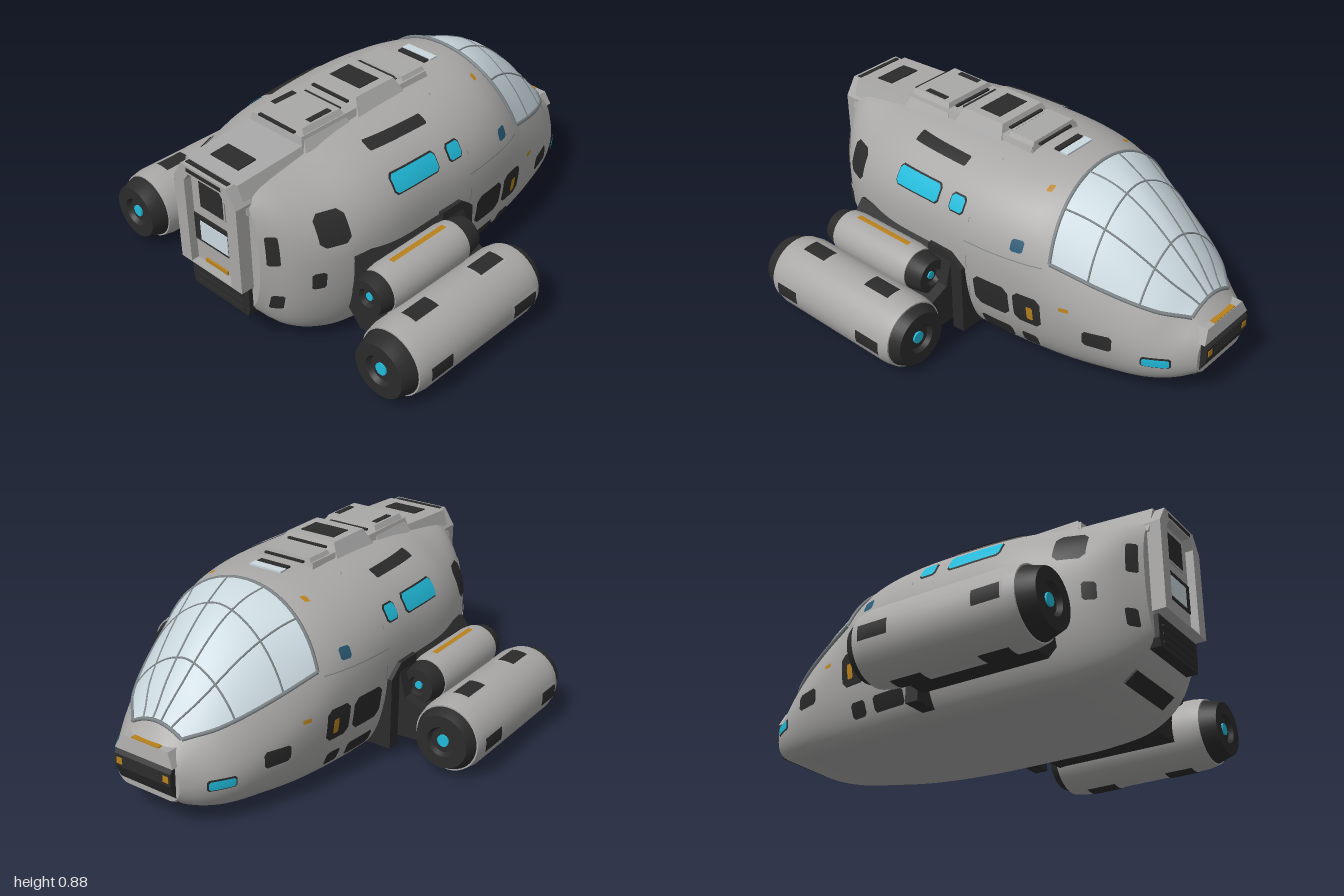
import * as THREE from 'three';
import { toCreasedNormals } from 'three/addons/utils/BufferGeometryUtils.js';

const mat = (name, color) => {
  const m = new THREE.MeshStandardMaterial({ color, side: THREE.DoubleSide });
  m.name = name;
  return m;
};

// Hull stations: z, then half width, bottom, belt height, top, fullness
const STATIONS = [
  [-0.97, 0.165, 0.125, 0.2, 0.335, 2.5], [-0.9, 0.23, 0.09, 0.2, 0.41, 1.8],
  [-0.8, 0.293, 0.06, 0.21, 0.525, 1.75], [-0.6, 0.37, 0.035, 0.28, 0.705, 1.7],
  [-0.45, 0.412, 0.02, 0.34, 0.782, 1.8], [-0.3, 0.442, 0.012, 0.4, 0.812, 2.1],
  [-0.1, 0.467, 0.008, 0.43, 0.82, 2.3], [0.2, 0.47, 0.005, 0.45, 0.82, 2.3],
  [0.5, 0.46, 0.008, 0.44, 0.805, 2.25], [0.7, 0.413, 0.03, 0.42, 0.785, 2.1],
  [0.85, 0.325, 0.1, 0.43, 0.77, 2.3], [0.94, 0.225, 0.2, 0.45, 0.755, 2.8],
];
const spline = new THREE.CubicInterpolant(
  STATIONS.map((s) => s[0]), STATIONS.flatMap((s) => s.slice(1)), 5);
const station = (z) => [...spline.evaluate(THREE.MathUtils.clamp(z, -0.97, 0.94))];
const BASE = 0.66; // flat belly width as a share of full width

// Point on the upper arch of a section; angle 0 is +x, PI is -x
function arch(z, angle) {
  const [w, , m, t, n] = station(z);
  const c = Math.cos(angle), s = Math.max(0, Math.sin(angle));
  return [w * Math.sign(c) * Math.abs(c) ** (2 / n), m + (t - m) * s ** (2 / n), z];
}

// Hull half width at a height
function hullX(y, z) {
  const [w, b, m, t, n] = station(z);
  if (y < m) return w * (BASE + (1 - BASE) * Math.sqrt(Math.max(0, 1 - ((m - y) / (m - b)) ** 2)));
  return w * Math.max(0, 1 - ((y - m) / (t - m)) ** n) ** (1 / n);
}

// Surface from a rule over u, v in 0..1
function grid(nu, nv, fn) {
  const pos = [], idx = [];
  for (let j = 0; j <= nv; j++) for (let i = 0; i <= nu; i++) pos.push(...fn(i / nu, j / nv));
  for (let j = 0; j < nv; j++) for (let i = 0; i < nu; i++) {
    const a = j * (nu + 1) + i, b = a + nu + 1;
    idx.push(a, a + 1, b, b, a + 1, b + 1);
  }
  const g = new THREE.BufferGeometry();
  g.setAttribute('position', new THREE.Float32BufferAttribute(pos, 3));
  g.setIndex(idx);
  g.computeVertexNormals();
  return g;
}

// Box whose top is narrowed in x and z
function taperBox(w, h, d, tx, tz) {
  const g = new THREE.BoxGeometry(w, h, d), p = g.attributes.position;
  for (let i = 0; i < p.count; i++) {
    if (p.getY(i) > 0) p.setXYZ(i, p.getX(i) * tx, p.getY(i), p.getZ(i) * tz);
  }
  g.computeVertexNormals();
  return g;
}

function extrude(points, depth, hole) {
  const shape = new THREE.Shape(points.map((p) => new THREE.Vector2(...p)));
  if (hole) shape.holes.push(new THREE.Path(hole.map((p) => new THREE.Vector2(...p))));
  return new THREE.ExtrudeGeometry(shape, { depth, bevelEnabled: false });
}

export function createModel() {
  const model = new THREE.Group();
  model.name = 'shuttle';
  const hull = mat('hull grey', 0xa9a8a7), dark = mat('dark grey', 0x2b2b2b);
  const trim = mat('trim grey', 0x7c8386), cyan = mat('cyan glow', 0x20bada);
  const orange = mat('amber', 0xb9821c), glass = mat('canopy glass', 0xcad8de);
  const teal = mat('teal marker', 0x2b5a75);

  const add = (name, geo, m, x = 0, y = 0, z = 0) => {
    const mesh = new THREE.Mesh(geo, m);
    mesh.name = name;
    mesh.position.set(x, y, z);
    model.add(mesh);
    return mesh;
  };
  const box = (name, m, w, h, d, x, y, z) => add(name, new THREE.BoxGeometry(w, h, d), m, x, y, z);

  // Hull: lofted body closed at both ends
  const N = 72;
  add('hull', toCreasedNormals(grid(64, N, (u, v) => {
    const z = THREE.MathUtils.clamp(-0.97 + 1.91 * (v * N - 1) / (N - 2), -0.97, 0.94);
    const [w, b, m, t] = station(z);
    if (v === 0 || v === 1) return [0, (b + t) / 2, z];
    if (u === 0 || u === 1) return [0, b, z];
    const a = (u * 64 - 1) / 62 * 2 * Math.PI - Math.PI / 2; // -90 to 270 degrees
    if (a >= 0 && a <= Math.PI) return arch(z, a);
    const side = a < Math.PI / 2 ? 1 : -1;
    return [side * w * (BASE + (1 - BASE) * Math.abs(Math.cos(a))), m + (m - b) * Math.sin(a), z];
  }), 0.6), hull);

  // Chamfered plate lying on the hull side
  function plate(name, m, s, z0, z1, y0, y1, off) {
    const hz = (z1 - z0) / 2, hy = (y1 - y0) / 2, c = Math.min(hz, hy) * 0.35;
    const rows = [-hy, -hy + c, -hy / 2 + c / 2, 0, hy / 2 - c / 2, hy - c, hy];
    add(name, grid(8, 6, (u, v) => {
      const dy = rows[Math.round(v * 6)];
      const y = (y0 + y1) / 2 + dy;
      const z = (z0 + z1) / 2 + (2 * u - 1) * (hz - Math.max(0, Math.abs(dy) - hy + c));
      const x = hullX(y, z), e = 0.004;
      const n = new THREE.Vector3(1, (hullX(y - e, z) - hullX(y + e, z)) / (2 * e),
        (hullX(y, z - e) - hullX(y, z + e)) / (2 * e)).normalize().multiplyScalar(off);
      return [s * (x + n.x), y + n.y, z + n.z];
    }), m);
  }

  // Side windows, vents and lights: material, z range, y range
  const sidePlates = [
    ['sideWindow', cyan, 0.17, 0.412, 0.602, 0.67], ['smallWindow', cyan, 0.03, 0.1, 0.607, 0.665],
    ['roofSlat', dark, 0.115, 0.42, 0.742, 0.768], ['rearVent', dark, 0.645, 0.765, 0.5, 0.63],
    ['tailVent', dark, 0.887, 0.922, 0.445, 0.575], ['lowTailVent', dark, 0.875, 0.91, 0.225, 0.295],
    ['lowRearVent', dark, 0.75, 0.8, 0.32, 0.395], ['sideDoor', dark, -0.227, -0.05, 0.22, 0.365],
    ['sideHatch', dark, -0.38, -0.25, 0.22, 0.365], ['lowVent', dark, -0.22, -0.06, 0.085, 0.15],
    ['lowVentSmall', dark, -0.345, -0.267, 0.087, 0.15], ['noseVent', dark, -0.68, -0.56, 0.213, 0.283],
    ['noseLight', cyan, -0.888, -0.795, 0.18, 0.215],
  ];
  for (const s of [1, -1]) {
    for (const [name, m, z0, z1, y0, y1] of sidePlates) {
      const rim = m === cyan ? 0.006 : 0.01;
      plate(name + 'Frame', m === cyan ? dark : hull, s, z0 - rim, z1 + rim, y0 - rim, y1 + rim, 0.005);
      plate(name, m, s, z0, z1, y0, y1, 0.009);
    }
    plate('hatchSign', orange, s, -0.345, -0.315, 0.25, 0.315, 0.012);
    plate('amberMarker', orange, s, -0.5, -0.46, 0.345, 0.362, 0.006);
    plate('roofMarker', orange, s, -0.285, -0.262, 0.752, 0.768, 0.006);
    plate('roundMarker', teal, s, -0.28, -0.225, 0.545, 0.595, 0.006);
    plate('beltSeam', trim, s, -0.37, 0, 0.505, 0.509, 0.003);
    plate('ringSeam', trim, s, -0.012, -0.008, 0.04, 0.79, 0.003);
  }

  // Canopy: glass bubble over the front of the hull, with frame ribs
  const canopyPoint = (s, a, off) => {
    const z = THREE.MathUtils.lerp(-0.345 - 0.05 * (1 - Math.sin(Math.PI * a)), -0.905, s);
    const low = THREE.MathUtils.mapLinear(z, -0.395, -0.905, 0.53, 0.365);
    const [, , m, t, n] = station(z);
    const a0 = Math.asin(Math.min(0.98, ((low - m) / (t - m)) ** (n / 2)));
    const [x, y] = arch(z, a0 + (Math.PI - 2 * a0) * a);
    const k = off / Math.hypot(x, y - m);
    return [x * (1 + k), y + (y - m) * k, z];
  };
  add('canopyGlass', grid(32, 28, (u, v) => canopyPoint(v, u, 0.008)), glass);
  const rib = (name, r, fn) => {
    const pts = Array.from({ length: 17 }, (_, i) => new THREE.Vector3(...fn(i / 16)));
    add(name, new THREE.TubeGeometry(new THREE.CatmullRomCurve3(pts), 32, r, 6), trim);
  };
  for (const a of [0.22, 0.41, 0.59, 0.78]) rib('canopyRib', 0.0045, (t) => canopyPoint(t, a, 0.007));
  for (const s of [0.3, 0.68]) rib('canopyHoop', 0.0045, (t) => canopyPoint(s, t, 0.007));
  for (const e of [0, 1]) {
    rib('canopyEndFrame', 0.008, (t) => canopyPoint(e, t, 0.006));
    rib('canopySill', 0.009, (t) => canopyPoint(t, e, 0.006));
  }

  // Nose: dark grille, lamps and an amber strip on the lip
  const grille = extrude([[0.92, 0.105], [0.955, 0.115], [0.998, 0.21], [0.998, 0.265], [0.975, 0.29], [0.92, 0.29]], 0.29);
  grille.rotateY(Math.PI / 2).translate(-0.145, 0, 0);
  add('noseGrille', grille, dark);
  for (const y of [0.22, 0.237, 0.254]) box('noseSlat', dark, 0.18, 0.006, 0.006, 0, y, -0.997);
  for (const s of [1, -1]) box('noseLamp', orange, 0.028, 0.028, 0.006, s * 0.12, 0.237, -0.997);
  add('noseLip', taperBox(0.3, 0.06, 0.1, 0.8, 0.8), hull, 0, 0.315, -0.94);
  box('noseStrip', orange, 0.14, 0.006, 0.024, 0, 0.346, -0.966);

  // Dorsal spine with raised blocks: height, z range
  add('spine', taperBox(0.33, 0.09, 0.74, 0.85, 0.96), hull, 0, 0.788, 0.27);
  add('rearSpine', taperBox(0.38, 0.12, 0.38, 0.78, 1), hull, 0, 0.73, 0.765).rotation.x = 0.06;
  for (const [top, z0, z1] of [[0.85, -0.1, 0.06], [0.867, 0.06, 0.34], [0.855, 0.37, 0.63]]) {
    add('spineBlock', taperBox(0.34, 0.08, z1 - z0, 0.72, 0.78), hull, 0, top - 0.04, (z0 + z1) / 2);
    for (const z of [z0 + 0.008, z1 - 0.008]) box('spineSlot', dark, 0.2, 0.008, 0.014, 0, top - 0.018, z);
  }
  box('spineVent', dark, 0.17, 0.006, 0.11, 0, 0.867, 0.195);
  for (const s of [1, -1]) box('blockVent', dark, 0.026, 0.006, 0.115, s * 0.1, 0.855, 0.492);
  box('rearSpineVent', dark, 0.16, 0.008, 0.09, 0, 0.786, 0.848).rotation.x = 0.06;
  box('roofLight', glass, 0.16, 0.008, 0.04, 0, 0.822, -0.203);
  box('roofSlot', dark, 0.15, 0.008, 0.027, 0, 0.823, -0.163);

  // Rear hatch: chamfered frame around a recessed door
  add('hatchFrame', extrude(
    [[-0.18, 0.31], [0.18, 0.31], [0.18, 0.7], [0.13, 0.777], [-0.13, 0.777], [-0.18, 0.7]], 0.15,
    [[-0.12, 0.315], [0.12, 0.315], [0.12, 0.7], [0.09, 0.74], [-0.09, 0.74], [-0.12, 0.7]]), hull, 0, 0, 0.85);
  box('hatchDoor', hull, 0.25, 0.43, 0.04, 0, 0.525, 0.945);
  box('doorVentFrame', hull, 0.15, 0.14, 0.006, 0, 0.65, 0.967);
  box('doorVent', dark, 0.133, 0.12, 0.008, 0, 0.65, 0.969);
  box('doorway', dark, 0.235, 0.125, 0.006, 0, 0.475, 0.967);
  box('doorwayGlass', glass, 0.16, 0.09, 0.008, 0, 0.47, 0.969);
  box('doorStrip', orange, 0.13, 0.016, 0.008, 0, 0.332, 0.969);
  box('hatchTopSlot', dark, 0.2, 0.018, 0.006, 0, 0.758, 0.998);
  box('hatchRoofPlate', dark, 0.24, 0.006, 0.02, 0, 0.777, 0.975);
  add('rearGrille', extrude([[-0.16, 0.165], [0.16, 0.165], [0.17, 0.2], [0.17, 0.3], [-0.17, 0.3], [-0.17, 0.2]], 0.11), dark, 0, 0, 0.85);
  for (const y of [0.19, 0.225, 0.26]) box('rearGrilleBar', dark, 0.28, 0.008, 0.008, 0, y, 0.961);
  const vent = box('lowRearGrille', dark, 0.32, 0.07, 0.01, 0, 0.073, 0.822);
  vent.rotation.x = 0.92;

  // Engine nacelles: dark capped core, grey sleeve, glowing hubs
  const lathe = (pts) => toCreasedNormals(new THREE.LatheGeometry(
    pts.map((p) => new THREE.Vector2(...p)), 32).rotateX(Math.PI / 2), 0.5);
  function nacelle(name, x, y, r, z0, z1, c0, c1) {
    add(name + 'Core', lathe([[0, z0 + 0.02], [r * 0.35, z0 + 0.02], [r * 0.42, z0], [r * 0.76, z0],
      [r * 0.9, z0 + c0], [r * 0.9, z1 - c1], [r * 0.76, z1], [r * 0.42, z1],
      [r * 0.35, z1 - 0.02], [0, z1 - 0.02]]), dark, x, y);
    add(name + 'Sleeve', lathe([[r * 0.88, z0 + c0], [r * 0.94, z0 + c0], [r, z0 + c0 + 0.05],
      [r, z1 - c1 - 0.05], [r * 0.94, z1 - c1], [r * 0.88, z1 - c1]]), hull, x, y);
    for (const z of [z0 + 0.018, z1 - 0.018]) {
      add(name + 'Hub', new THREE.CylinderGeometry(r * 0.17, r * 0.17, 0.012, 12).rotateX(Math.PI / 2), cyan, x, y, z);
    }
  }
  // Curved plate on a nacelle; angle 0 is below, PI is above
  const curved = (name, m, x, y, r, z0, z1, angle, width) => add(name,
    new THREE.CylinderGeometry(r, r, z1 - z0, 8, 1, true, angle - width / 2, width).rotateX(Math.PI / 2),
    m, x, y, (z0 + z1) / 2);

  for (const s of [1, -1]) {
    nacelle('outerEngine', s * 0.738, 0.155, 0.157, 0, 0.83, 0.045, 0.07);
    nacelle('innerEngine', s * 0.545, 0.31, 0.1, 0.11, 0.69, 0.08, 0.06);
    const upright = [[0.145, 0.285], [0.535, 0.665]], sideways = [[0.085, 0.22], [0.59, 0.71]];
    for (const [angle, spans, width] of [[Math.PI, upright, 0.46], [s * Math.PI / 2, sideways, 0.38], [0, upright, 0.46]]) {
      for (const [z0, z1] of spans) {
        curved('engineVentFrame', hull, s * 0.738, 0.155, 0.16, z0 - 0.01, z1 + 0.01, angle, width + 0.14);
        curved('engineVent', dark, s * 0.738, 0.155, 0.164, z0, z1, angle, width);
      }
    }
    curved('engineStripFrame', hull, s * 0.545, 0.31, 0.102, 0.23, 0.56, Math.PI, 0.36);
    curved('engineStrip', orange, s * 0.545, 0.31, 0.106, 0.245, 0.555, Math.PI, 0.23);
    // Pylon joining hull and engines
    const outline = [[0.34, 0.17], [0.38, 0.41], [0.45, 0.43], [0.49, 0.38], [0.52, 0.27], [0.63, 0.22],
      [0.63, 0.09], [0.46, 0.08], [0.38, 0.17]].map(([x, y]) => [s * x, y]);
    add('pylon', extrude(outline, 0.58), dark, 0, 0, 0.06);
    // Bent collar around the leading end of the pylon
    const collar = extrude([[-0.19, 0.42], [-0.07, 0.42], [0, 0.365], [0, 0.04], [-0.06, 0.04],
      [-0.06, 0.34], [-0.1, 0.375], [-0.19, 0.375]], 0.13).rotateY(Math.PI / 2);
    add('pylonCollar', collar, dark, s > 0 ? 0.36 : -0.49);
  }
  return model;
}
